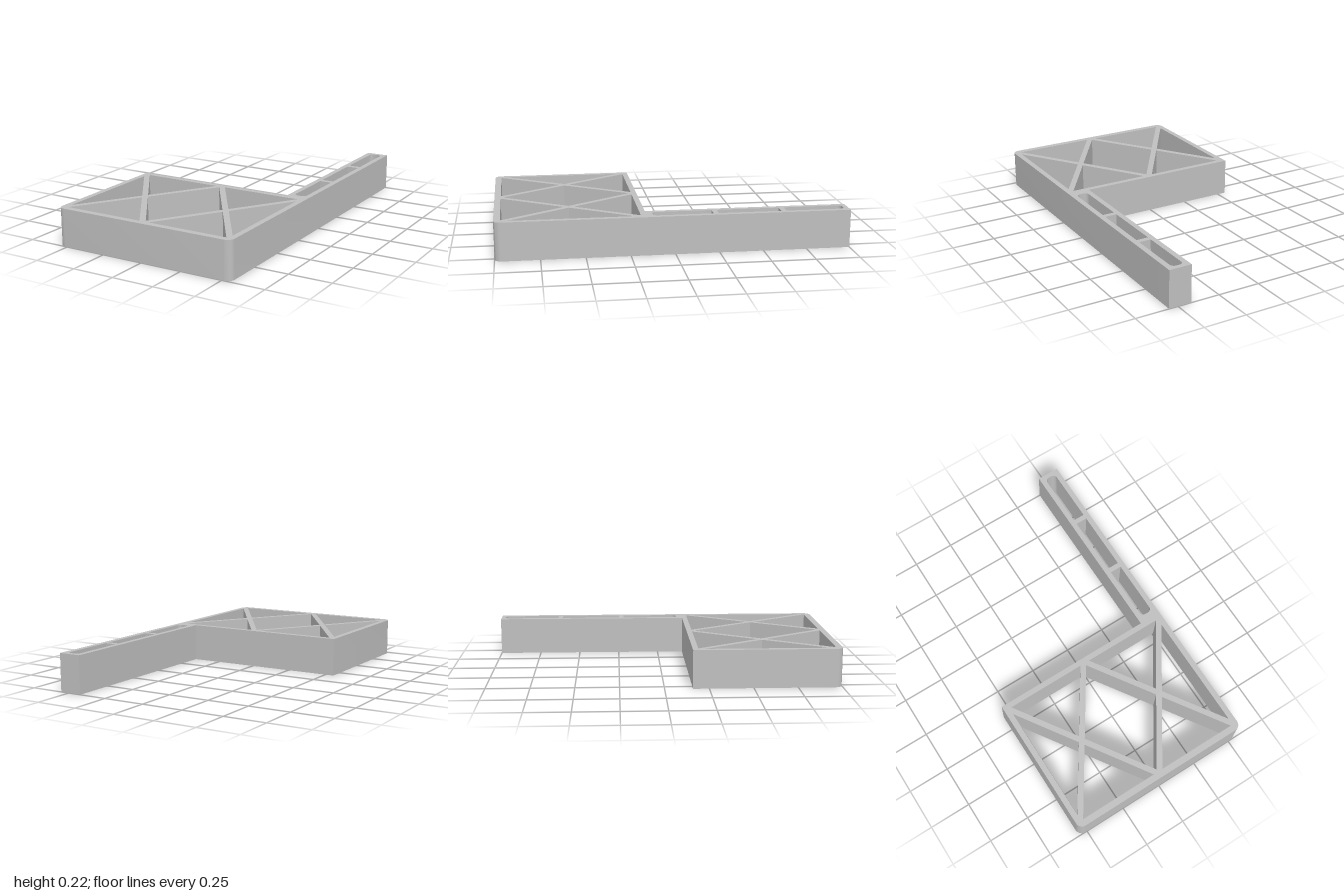
import * as THREE from 'three';
import { toCreasedNormals } from 'three/addons/utils/BufferGeometryUtils.js';

const HEIGHT = 0.22;
const HALF_W = 0.553;            // half width of the frame
const BACK = 0.158, FRONT = 1;   // frame extent in z
const INNER_X = 0.52, INNER_BACK = 0.19, INNER_FRONT = 0.963;

// Plan outline from [x, z, cornerRadius] points; shape y is -z
function outline(points, Type = THREE.Path) {
  const path = new Type();
  const n = points.length;
  const at = (i) => new THREE.Vector2(points[(i + n) % n][0], -points[(i + n) % n][1]);
  points.forEach(([, , r = 0], i) => {
    const p = at(i);
    const toward = (q) => q.sub(p).setLength(r).add(p);
    const a = r ? toward(at(i - 1)) : p;
    const b = r ? toward(at(i + 1)) : p;
    if (i === 0) path.moveTo(a.x, a.y);
    else path.lineTo(a.x, a.y);
    if (r) {
      // circular fillet approximated by a cubic
      const k = 0.5523;
      const c1 = a.clone().lerp(p, k), c2 = b.clone().lerp(p, k);
      path.bezierCurveTo(c1.x, c1.y, c2.x, c2.y, b.x, b.y);
    }
  });
  path.closePath();
  return path;
}

export function createModel() {
  const group = new THREE.Group();
  group.name = 'bracedBracket';
  const grey = new THREE.MeshStandardMaterial({ color: 0xbfbfbf });
  grey.name = 'plain grey';

  // Rectangular frame with a long arm running back from its left side
  const plan = outline([
    [-HALF_W, FRONT, 0.04], [HALF_W, FRONT, 0.04], [HALF_W, -1],
    [0.42, -1], [0.42, BACK], [-HALF_W, BACK],
  ], THREE.Shape);

  // Openings left between the crossed braces
  const cx = 0.268, cz = (INNER_BACK + INNER_FRONT) / 2;
  const slope = 1.495, h = 0.02, v = h * slope;
  const half = (INNER_FRONT - INNER_BACK) / 2;
  const run = (half - v) / slope;
  const rise = (INNER_X - cx - h) * slope;
  for (const s of [-1, 1]) {
    for (const f of [-1, 1]) {
      plan.holes.push(outline([
        [s * cx, cz + f * v], [s * cx - run, cz + f * half], [s * cx + run, cz + f * half],
      ]));
    }
    plan.holes.push(outline([
      [s * (cx + h), cz], [s * INNER_X, cz - rise], [s * INNER_X, cz + rise],
    ]));
  }
  const mid = (cx - h) * slope;
  plan.holes.push(outline([[h - cx, cz], [0, cz - mid], [cx - h, cz], [0, cz + mid]]));

  // Arm slots, rounded only at the far ends
  for (const [z0, z1, r0, r1] of [
    [-0.972, -0.635, 0.025, 0], [-0.605, -0.247, 0, 0], [-0.217, 0.122, 0, 0.025],
  ]) {
    plan.holes.push(outline([[0.451, z0, r0], [0.521, z0, r0], [0.521, z1, r1], [0.451, z1, r1]]));
  }

  const geometry = new THREE.ExtrudeGeometry(plan, {
    depth: HEIGHT, bevelEnabled: false, curveSegments: 8,
  });
  geometry.rotateX(-Math.PI / 2);
  const bracket = new THREE.Mesh(toCreasedNormals(geometry, 0.5), grey);
  bracket.name = 'frameAndArm';
  group.add(bracket);
  return group;
}
